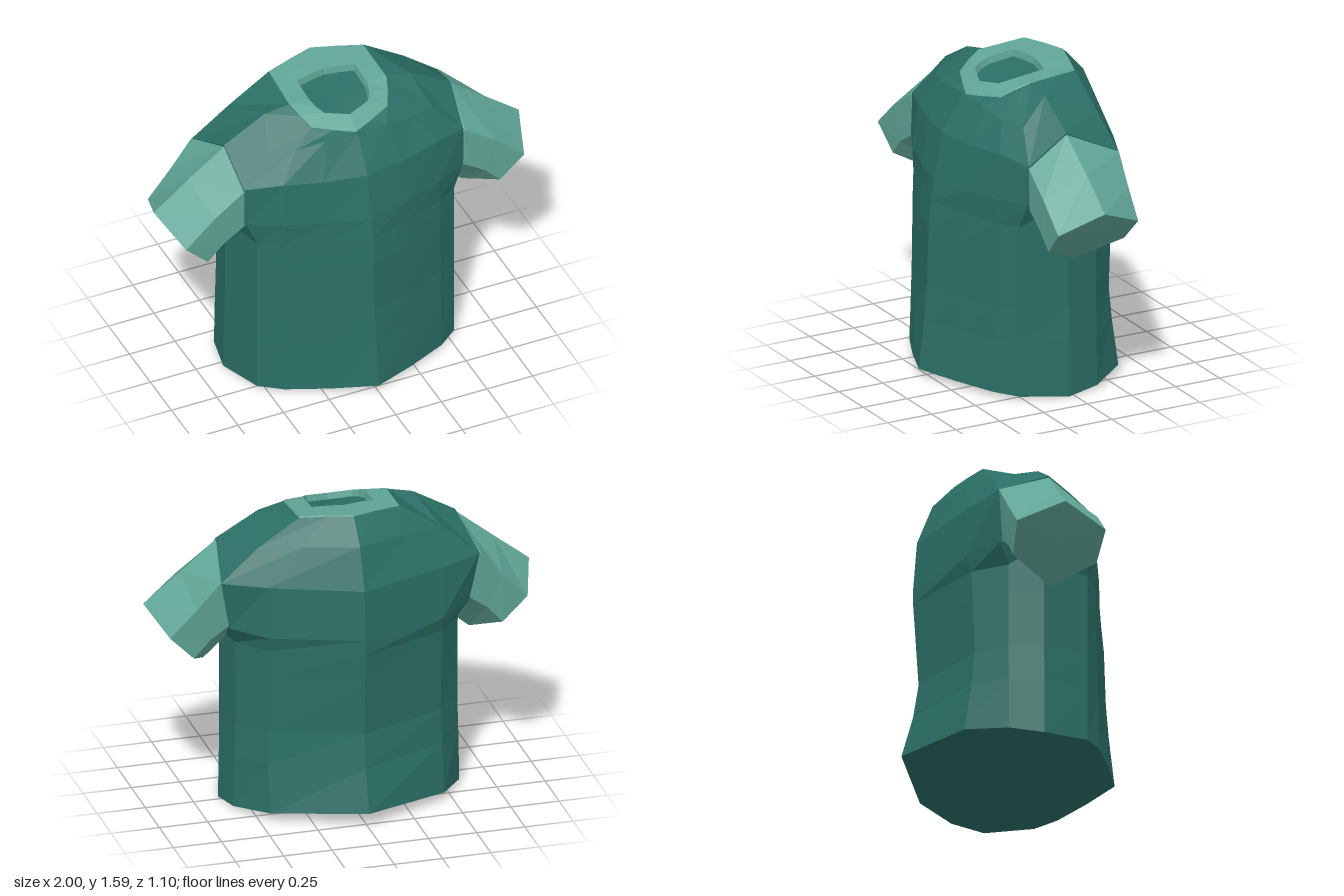
import * as THREE from 'three';

const BODY = 0x2a6e65, TRIM = 0x60a596;
const V = (x, y, z) => new THREE.Vector3(x, y, z);

// Half outline (front centre -> left side -> back centre) mirrored into a closed ring
function mirrorRing(half) {
  const p = half.map(a => V(...a));
  const back = p.slice(1, -1).reverse().map(v => V(-v.x, v.y, v.z));
  return [...p, ...back];
}

// Skin a list of rings; optionally close either end with a fan
function loft(rings, capStart, capEnd) {
  const pos = [], n = rings[0].length;
  const tri = (...t) => t.forEach(v => pos.push(v.x, v.y, v.z));
  for (let j = 0; j < rings.length - 1; j++) {
    for (let i = 0; i < n; i++) {
      const k = (i + 1) % n;
      const a = rings[j][i], b = rings[j][k], c = rings[j + 1][k], d = rings[j + 1][i];
      tri(a, b, c);
      tri(a, c, d);
    }
  }
  const cap = (ring, flip) => {
    const mid = ring.reduce((s, v) => s.add(v), V(0, 0, 0)).divideScalar(n);
    ring.forEach((a, i) => {
      const b = ring[(i + 1) % n];
      flip ? tri(mid, b, a) : tri(mid, a, b);
    });
  };
  if (capStart) cap(rings[0], true);
  if (capEnd) cap(rings[rings.length - 1], false);
  const g = new THREE.BufferGeometry();
  g.setAttribute('position', new THREE.Float32BufferAttribute(pos, 3));
  g.computeVertexNormals();
  return g;
}

function part(name, geometry, color) {
  const mesh = new THREE.Mesh(geometry,
    new THREE.MeshStandardMaterial({ color, flatShading: true, side: THREE.DoubleSide }));
  mesh.name = name;
  return mesh;
}

// Straight lower body: front depth, back depth, half width; hem rises to front and back
function bodyRing(y, front, back, width, liftFront = 0, liftBack = 0) {
  const f = t => 0.27 + (front - 0.27) * t;
  const half = [
    [0, y, f(1)], [0.22, y, f(0.69)], [0.43, y, f(0.33)], [0.54, y, 0.27],
    [width, y, 0.03], [width - 0.03, y, -0.145], [0.45, y, back * 0.62], [0, y, back],
  ];
  half.forEach(p => { p[1] += p[2] > 0 ? liftFront * p[2] / front : liftBack * p[2] / back; });
  return mirrorRing(half);
}

const neckOuter = [
  [0, 1.45, 0.28], [0.11, 1.47, 0.24], [0.21, 1.49, 0.2], [0.245, 1.53, 0.13],
  [0.27, 1.56, 0.06], [0.262, 1.58, -0.2], [0.13, 1.588, -0.24], [0, 1.59, -0.28],
];
const neckInner = [
  [0, 1.51, 0.2], [0.06, 1.52, 0.18], [0.12, 1.53, 0.16], [0.145, 1.545, 0.12],
  [0.16, 1.56, 0.06], [0.16, 1.575, -0.08], [0.08, 1.58, -0.095], [0, 1.58, -0.11],
];
// Shift a half outline vertically and scale it in plan
const adjust = (half, dy, s) => half.map(([x, y, z]) => [x * s, y + dy, z * s]);

function torso() {
  const chest = [
    [0, 1.03, 0.46], [0.22, 1.04, 0.41], [0.42, 1.05, 0.35], [0.595, 1.05, 0.26],
    [0.61, 1.05, 0.04], [0.62, 1.02, -0.2], [0.45, 1.0, -0.33], [0, 1.0, -0.49],
  ];
  const armhole = [
    [0, 1.27, 0.41], [0.22, 1.27, 0.37], [0.42, 1.28, 0.32], [0.6, 1.26, 0.25],
    [0.62, 1.41, 0.05], [0.67, 1.28, -0.22], [0.46, 1.27, -0.31], [0, 1.26, -0.47],
  ];
  const shoulder = [
    [0, 1.46, 0.295], [0.17, 1.45, 0.28], [0.32, 1.42, 0.25], [0.45, 1.41, 0.2],
    [0.4, 1.535, 0.05], [0.48, 1.44, -0.2], [0.27, 1.46, -0.29], [0, 1.47, -0.39],
  ];
  return loft([
    bodyRing(0, 0.545, -0.55, 0.615, 0.04, 0.08),
    bodyRing(0.3, 0.515, -0.49, 0.61),
    bodyRing(0.48, 0.5, -0.462, 0.605),
    bodyRing(0.77, 0.49, -0.48, 0.605),
    bodyRing(0.92, 0.475, -0.49, 0.608),
    ...[chest, armhole, shoulder, neckOuter, adjust(neckInner, -0.035, 1)].map(mirrorRing),
  ], true, true);
}

// Neckband: short outer edge, sloping face, inner lip
function collar() {
  return loft([
    adjust(neckOuter, -0.01, 1.01), adjust(neckOuter, 0.005, 0.98),
    neckInner, adjust(neckInner, -0.035, 0.95),
  ].map(mirrorRing), false, false);
}

// Six-sided sleeve; points run top, front, bottom, back
function sleeve(side) {
  const seam = [
    [0.62, 1.4, 0.05], [0.607, 1.25, 0.255], [0.607, 1.03, 0.25],
    [0.61, 0.84, 0.04], [0.625, 1.03, -0.19], [0.675, 1.28, -0.22],
  ];
  const middle = [
    [0.81, 1.25, 0.04], [0.77, 1.14, 0.263], [0.72, 0.96, 0.255],
    [0.645, 0.805, 0.04], [0.72, 0.96, -0.185], [0.795, 1.14, -0.205],
  ];
  const cuff = [
    [1, 1.1, 0.04], [0.927, 1.0, 0.265], [0.8, 0.873, 0.25],
    [0.69, 0.768, 0.04], [0.8, 0.87, -0.18], [0.927, 1.0, -0.19],
  ];
  const inside = seam.map(([x, y, z]) => [x - 0.06, 1.1 + (y - 1.1) * 0.9, z * 0.9]);
  const rings = [inside, seam, middle, cuff].map(r => {
    const ring = r.map(([x, y, z]) => V(side * x, y, z));
    return side < 0 ? ring.reverse() : ring;
  });
  return loft(rings, true, true);
}

export function createModel() {
  const shirt = new THREE.Group();
  shirt.name = 'shirt';
  shirt.add(
    part('torso', torso(), BODY),
    part('collar', collar(), TRIM),
    part('leftSleeve', sleeve(1), TRIM),
    part('rightSleeve', sleeve(-1), TRIM),
  );
  return shirt;
}
